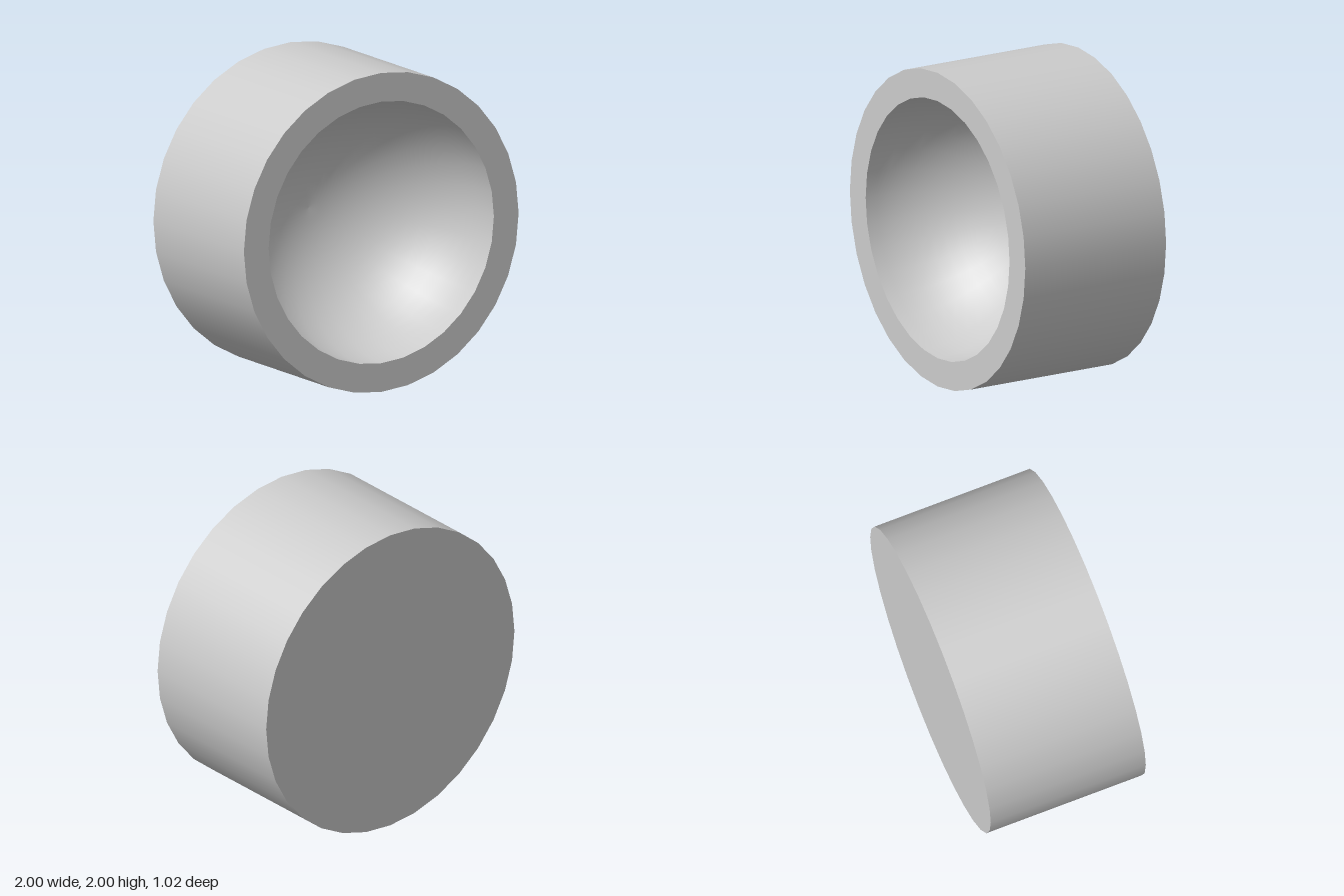
import * as THREE from 'three';

const R = 1, BOWL_R = 0.82, HALF = 0.51, SIDES = 32, RINGS = 16;

export function createModel() {
  const group = new THREE.Group();
  group.name = 'hollowCap';
  const material = new THREE.MeshStandardMaterial({ color: 0xcccccc });

  // Revolves a (radius, depth) profile and turns its axis to face the front
  const addTurned = (name, profile) => {
    const points = profile.map(([r, z]) => new THREE.Vector2(r, z));
    const geometry = new THREE.LatheGeometry(points, SIDES).rotateX(Math.PI / 2);
    const mesh = new THREE.Mesh(geometry, material);
    mesh.name = name;
    mesh.position.y = R;
    group.add(mesh);
  };

  // Separate surfaces keep the edges between them sharp
  addTurned('backFace', [[0, -HALF], [R, -HALF]]);
  addTurned('outerWall', [[R, -HALF], [R, HALF]]);
  addTurned('frontRim', [[R, HALF], [BOWL_R, HALF]]);

  // Hemispherical hollow, from the rim down to its deepest point
  const bowl = [];
  for (let i = 0; i <= RINGS; i++) {
    const a = (i / RINGS) * Math.PI / 2;
    bowl.push([i === RINGS ? 0 : BOWL_R * Math.cos(a), HALF - BOWL_R * Math.sin(a)]);
  }
  addTurned('bowl', bowl);

  return group;
}
